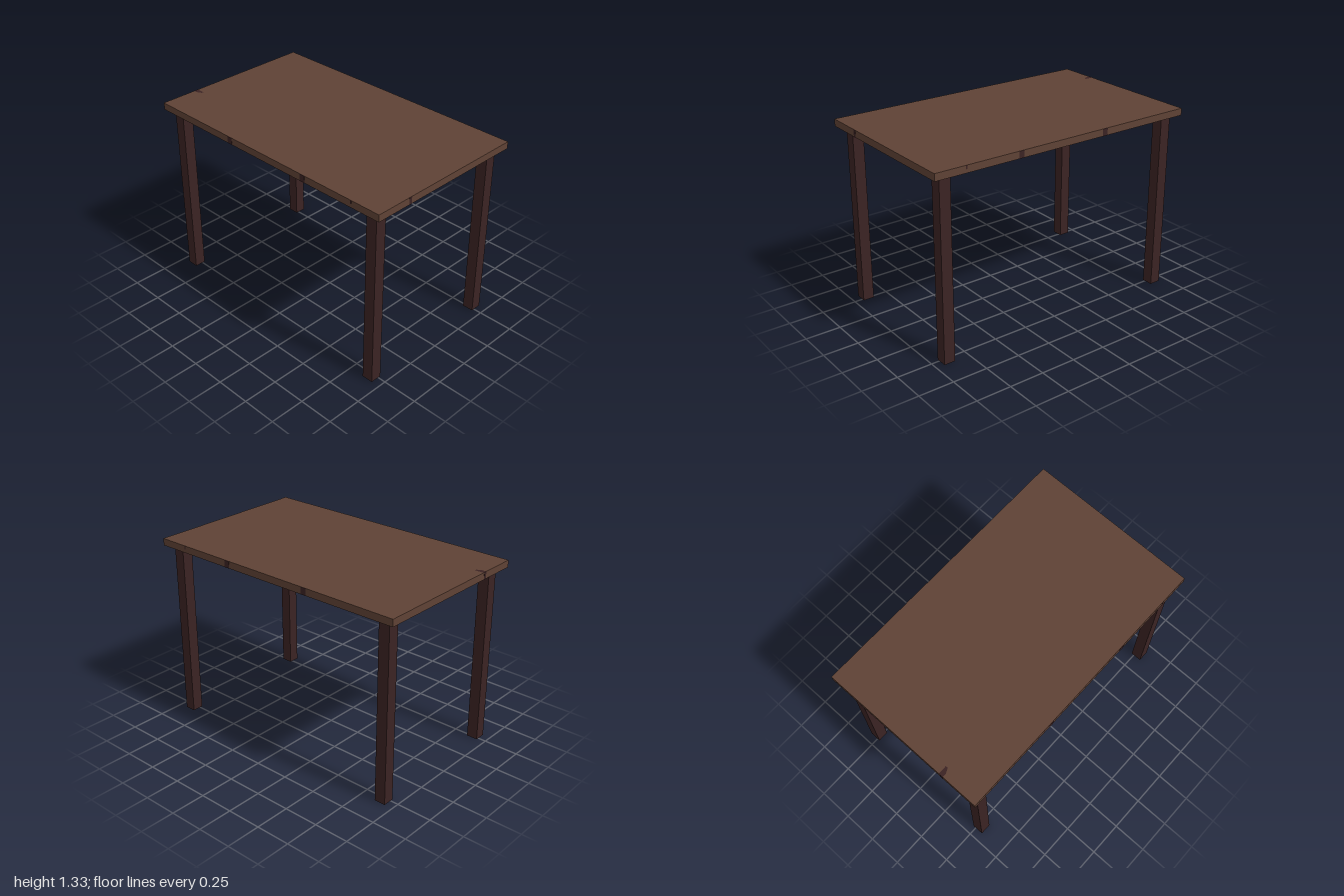
import * as THREE from 'three';

export function createModel() {
  const model = new THREE.Group();
  model.name = 'table';

  const wood = new THREE.MeshStandardMaterial({ color: 0x5f4235 });
  wood.name = 'brown wood';
  const darkWood = new THREE.MeshStandardMaterial({ color: 0x3b2323 });
  darkWood.name = 'dark wood';

  const addBox = (name, size, position, material) => {
    const mesh = new THREE.Mesh(new THREE.BoxGeometry(...size), material);
    mesh.name = name;
    mesh.position.set(...position);
    model.add(mesh);
  };

  const legHeight = 1.28, thickness = 0.05, halfX = 1, halfZ = 0.608;
  const topY = legHeight + thickness, midY = legHeight + thickness / 2;
  const plate = 0.002;

  // Table top
  addBox('tableTop', [halfX * 2, thickness, halfZ * 2], [0, midY, 0], wood);

  // Four square legs, set in from the corners
  for (const x of [-0.9, 0.9]) {
    for (const z of [-0.52, 0.52]) {
      addBox('leg', [0.08, legHeight, 0.08], [x, legHeight / 2, z], darkWood);
    }
  }

  // Dark grain marks on the long edges: centre x, width, height
  const marks = [[-0.305, 0.04, thickness], [0.37, 0.04, thickness], [0.777, 0.01, 0.025]];
  for (const side of [-1, 1]) {
    for (const [x, width, height] of marks) {
      addBox('edgeMark', [width, height, plate], [x, topY - height / 2, side * halfZ], darkWood);
    }
    // One mark on each short edge
    addBox('endMark', [plate, thickness, 0.022], [side * (halfX - plate / 2 + 0.001), midY, 0.335], darkWood);
  }

  // Small tapering knot on the upper face
  const knotShape = new THREE.Shape([
    [-1, -0.345], [-0.97, -0.345], [-0.937, -0.328], [-0.937, -0.313], [-1, -0.313],
  ].map(([x, y]) => new THREE.Vector2(x, y)));
  const knot = new THREE.Mesh(new THREE.ShapeGeometry(knotShape), darkWood);
  knot.name = 'topMark';
  knot.rotation.x = -Math.PI / 2;
  knot.position.y = topY + 0.001;
  model.add(knot);

  return model;
}
